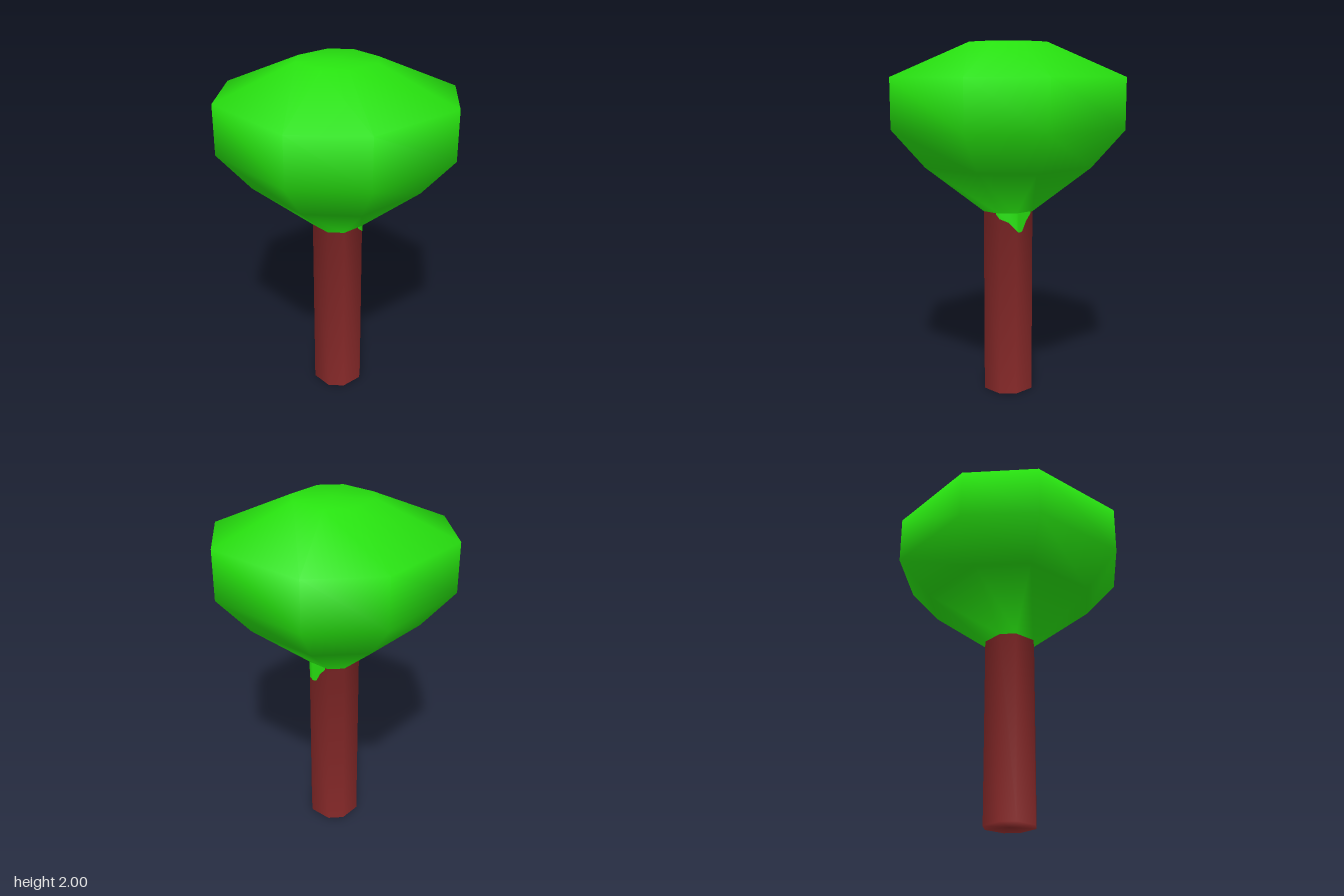
import * as THREE from 'three';

const leafGreen = new THREE.MeshStandardMaterial({ color: 0x27e20f });
const barkBrown = new THREE.MeshStandardMaterial({ color: 0x8f2c2c });
leafGreen.name = 'leaf green';
barkBrown.name = 'bark brown';

// Cross-sections from the ground up: [half width, height]
const RINGS = [[0.13, 0], [0.13, 1.06], [0.43, 1.32], [0.595, 1.53], [0.595, 1.81], [0.2, 2]];
// Square with chamfered corners, running from +x towards +z
const OCTAGON = [[1, 0.5], [0.5, 1], [-0.5, 1], [-1, 0.5], [-1, -0.5], [-0.5, -1], [0.5, -1], [1, -0.5]];
const N = OCTAGON.length;

function geometryFrom(points, index) {
  const geometry = new THREE.BufferGeometry();
  geometry.setAttribute('position', new THREE.Float32BufferAttribute(points.flat(), 3));
  geometry.setIndex(index);
  geometry.computeVertexNormals();
  return geometry;
}

// Quad whose lower edge a-b runs anticlockwise seen from below
const quad = (a, b, lowA, lowB) => [lowA, a, b, lowA, b, lowB];

export function createModel() {
  const tree = new THREE.Group();
  tree.name = 'tree';

  // One smooth skin, so that shading flows from trunk into crown
  const points = RINGS.flatMap(([r, y]) => OCTAGON.map(([x, z]) => [x * r, y, z * r]));
  const bottom = points.push([0, 0, 0]) - 1;
  const top = points.push([0, 2, 0]) - 1;
  const band = (k) => OCTAGON.flatMap((_, i) => {
    const j = (i + 1) % N;
    return quad((k + 1) * N + i, (k + 1) * N + j, k * N + i, k * N + j);
  });
  const cap = (centre, k, up) => OCTAGON.flatMap((_, i) => {
    const a = k * N + i, b = k * N + (i + 1) % N;
    return up ? [centre, b, a] : [centre, a, b];
  });
  const trunkFaces = [...cap(bottom, 0, false), ...band(0)];
  const crownFaces = [...[1, 2, 3, 4].flatMap(band), ...cap(top, 5, true)];
  const skin = geometryFrom(points, [...trunkFaces, ...crownFaces]);

  const addPart = (name, geometry, material) => {
    const mesh = new THREE.Mesh(geometry, material);
    mesh.name = name;
    tree.add(mesh);
  };
  addPart('trunk', skin.clone().setIndex(trunkFaces), barkBrown);
  addPart('crown', skin.clone().setIndex(crownFaces), leafGreen);

  // Ragged green fringe hanging over the trunk: [x, z, lower edge height]
  const fringe = [
    [0.13, -0.045, 1.05], [0.13, -0.01, 1.01], [0.13, 0.02, 0.955], [0.13, 0.045, 0.95],
    [0.13, 0.065, 0.965], [0.1, 0.095, 1.01], [0.065, 0.13, 1.03], [0.035, 0.13, 1.055],
  ];
  const fringePoints = fringe.flatMap(([x, z, y]) => [[x * 1.02, y, z * 1.02], [x * 1.02, 1.063, z * 1.02]]);
  const fringeFaces = fringe.slice(1).flatMap((_, i) => quad(2 * i + 1, 2 * i + 3, 2 * i, 2 * i + 2));
  addPart('leafFringe', geometryFrom(fringePoints, fringeFaces), leafGreen);

  return tree;
}
